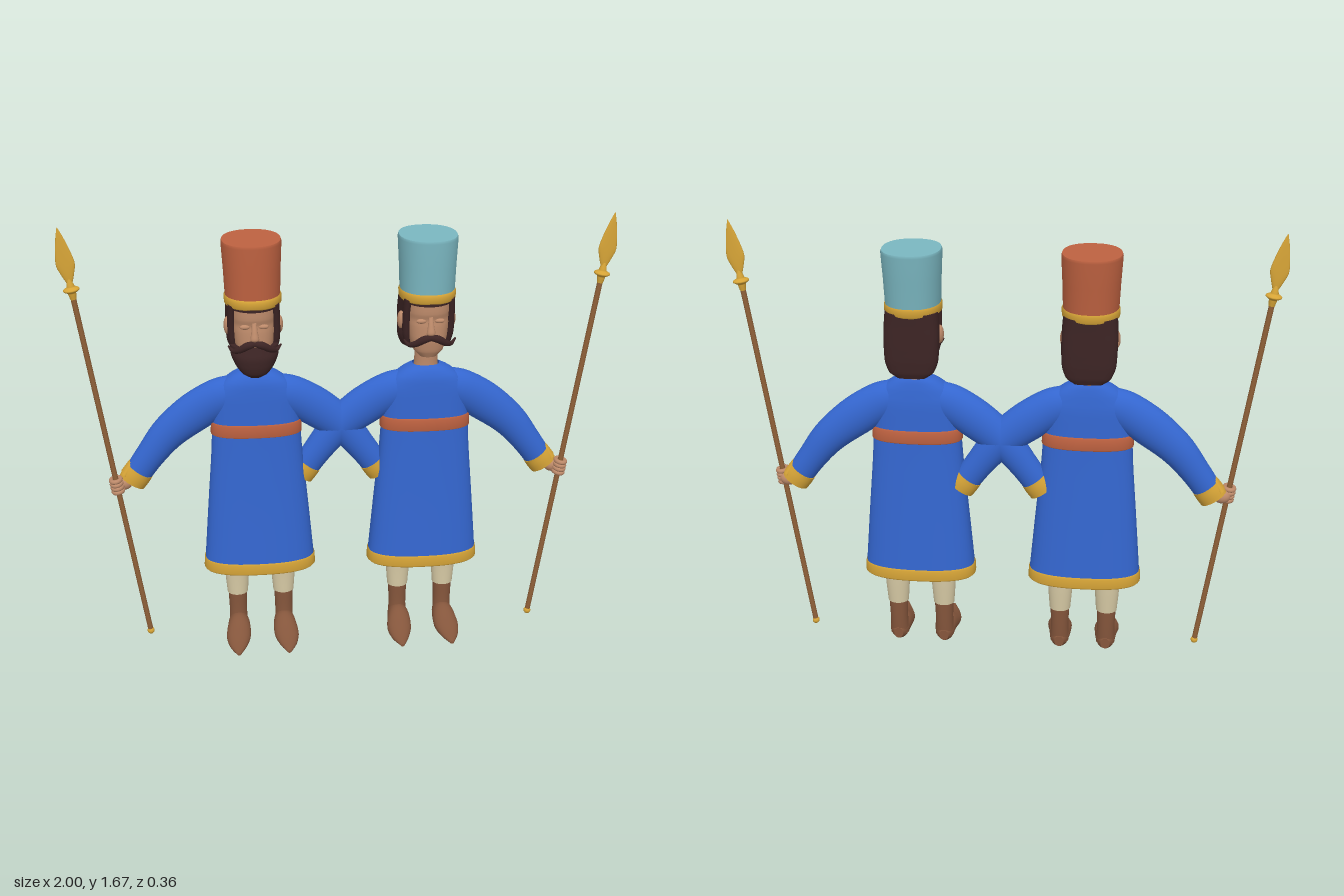
import * as THREE from 'three';

const mat = (name, color) => {
  const m = new THREE.MeshStandardMaterial({ color, side: THREE.DoubleSide });
  m.name = name;
  return m;
};

// Skin of elliptical sections along a path; rows are [x, y, z, radiusAlongRef, otherRadius].
function sweep(rows, { ref = [1, 0, 0], axis = null, steps = 24, sides = 28, power = 1, caps = true, straight = false } = {}) {
  const pos = [], idx = [];
  const path = new THREE.CatmullRomCurve3(rows.map(r => new THREE.Vector3(r[0], r[1], r[2])));
  const size = new THREE.CatmullRomCurve3(rows.map(r => new THREE.Vector3(r[3], r[4], 0)));
  const n = straight ? rows.length - 1 : steps;
  const se = v => Math.sign(v) * Math.abs(v) ** power;
  for (let i = 0; i <= n; i++) {
    const t = i / n, p = path.getPoint(t), r = size.getPoint(t);
    const T = axis ? new THREE.Vector3(...axis) : path.getTangent(t);
    const side = new THREE.Vector3(...ref);
    side.addScaledVector(T, -side.dot(T)).normalize();
    const up = T.clone().cross(side);
    for (let j = 0; j < sides; j++) {
      const a = j / sides * Math.PI * 2;
      const v = p.clone().addScaledVector(side, se(Math.cos(a)) * r.x).addScaledVector(up, se(Math.sin(a)) * r.y);
      pos.push(v.x, v.y, v.z);
    }
  }
  for (let i = 0; i < n; i++) for (let j = 0; j < sides; j++) {
    const k = (j + 1) % sides, a = i * sides + j, b = i * sides + k;
    idx.push(a, b, b + sides, a, b + sides, a + sides);
  }
  // flat end caps with their own vertices, so the rims stay crisp
  if (caps) for (const end of [0, n]) {
    const base = pos.length / 3, c = path.getPoint(end / n);
    pos.push(...pos.slice(end * sides * 3, (end + 1) * sides * 3), c.x, c.y, c.z);
    for (let j = 0; j < sides; j++) {
      const k = (j + 1) % sides;
      idx.push(base + sides, base + (end ? j : k), base + (end ? k : j));
    }
  }
  const g = new THREE.BufferGeometry();
  g.setAttribute('position', new THREE.Float32BufferAttribute(pos, 3));
  g.setIndex(idx);
  g.computeVertexNormals();
  return g;
}

// Upright form from rings [y, halfWidth, frontZ, backZ]
const loft = (rings, opts = {}, x = 0) => sweep(
  rings.map(([y, w, f, b]) => [x, y, (f + b) / 2, w, (f - b) / 2]), { axis: [0, 1, 0], ...opts });

export function createModel() {
  const M = {
    blue: mat('robe blue', 0x3466cf), gold: mat('gold trim', 0xd6a437), red: mat('rust red', 0xbd6140),
    teal: mat('pale teal', 0x7ab6c0), skin: mat('skin', 0xbd8a6a), hair: mat('dark hair', 0x3c2424),
    cream: mat('cream trousers', 0xd6c9a4), boot: mat('boot brown', 0x85563c), wood: mat('spear wood', 0x8f6038),
  };
  const model = new THREE.Group();
  model.name = 'twoGuards';

  // s = side on which the guard stands and holds the spear
  function guard(s, hatMat, bearded) {
    const g = new THREE.Group();
    g.name = s > 0 ? 'leftGuard' : 'rightGuard';
    g.position.x = s * 0.317;
    const add = (name, geo, m, parent = g) => {
      const mesh = new THREE.Mesh(geo, m);
      mesh.name = name;
      parent.add(mesh);
      return mesh;
    };
    const ball = (name, m, p, r) => {
      const b = add(name, new THREE.SphereGeometry(1, 20, 14), m);
      b.position.set(...p);
      b.scale.set(...r);
      return b;
    };

    // robe, hem and belt
    add('robe', loft([[0.345, 0.21, 0.066, -0.132], [0.6, 0.188, 0.05, -0.118], [0.8, 0.17, 0.04, -0.108],
      [0.92, 0.163, 0.035, -0.103], [1.02, 0.158, 0.032, -0.1], [1.075, 0.125, 0.027, -0.092],
      [1.105, 0.085, 0.015, -0.085], [1.12, 0.05, 0, -0.078]], { caps: false, power: 0.8, sides: 40 }), M.blue);
    add('hem', loft([[0.308, 0.209, 0.066, -0.132], [0.315, 0.215, 0.071, -0.137], [0.35, 0.213, 0.07, -0.136],
      [0.357, 0.208, 0.064, -0.13]], { caps: false, power: 0.8, sides: 40, straight: true }), M.gold);
    add('belt', loft([[0.868, 0.163, 0.034, -0.104], [0.874, 0.17, 0.042, -0.111], [0.916, 0.168, 0.041, -0.11],
      [0.922, 0.16, 0.033, -0.1]], { power: 0.8, sides: 40, straight: true }), M.red);

    // legs and pointed boots
    for (const k of [-1, 1]) {
      const x = k * 0.09;
      add('trouserLeg', loft([[0.18, 0.04, -0.012, -0.085], [0.26, 0.046, -0.01, -0.09], [0.45, 0.055, 0.0, -0.098]], {}, x), M.cream);
      add('bootShaft', loft([[0.03, 0.036, -0.005, -0.075], [0.1, 0.034, -0.013, -0.08], [0.192, 0.037, -0.014, -0.084]], {}, x), M.boot);
      add('bootFoot', sweep([[x, 0.04, -0.078, 0.018, 0.022], [x, 0.046, -0.05, 0.036, 0.043], [x, 0.05, 0, 0.043, 0.048],
        [x + k * 0.004, 0.036, 0.06, 0.047, 0.034], [x + k * 0.007, 0.029, 0.12, 0.033, 0.019],
        [x + k * 0.007, 0.03, 0.182, 0.007, 0.005]], { axis: [0, 0, 1] }), M.boot);
    }

    // sleeves and cuffs
    for (const k of [-1, 1]) {
      add('sleeve', sweep([[k * 0.06, 1.035, -0.035, 0.05, 0.065], [k * 0.13, 1.01, -0.038, 0.056, 0.075],
        [k * 0.215, 0.96, -0.045, 0.055, 0.076], [k * 0.325, 0.872, -0.05, 0.052, 0.066],
        [k * 0.4, 0.78, -0.05, 0.047, 0.055], [k * 0.467, 0.685, -0.05, 0.041, 0.05]], { ref: [0, 0, 1] }), M.blue);
      add('cuff', sweep([[k * 0.44, 0.724, -0.05, 0.044, 0.054], [k * 0.455, 0.703, -0.05, 0.045, 0.055],
        [k * 0.472, 0.678, -0.05, 0.043, 0.053]], { ref: [0, 0, 1], steps: 6 }), M.gold);
      // longer point of the cuff on the upper side
      add('cuffPoint', sweep([[k * 0.458, 0.772, -0.05, 0.012, 0.008], [k * 0.475, 0.745, -0.05, 0.026, 0.014],
        [k * 0.497, 0.712, -0.05, 0.034, 0.016]], { ref: [0, 0, 1], steps: 8, sides: 16 }), M.gold);
    }

    // neck, head and face
    add('neck', loft([[1.07, 0.05, 0.005, -0.085], [1.13, 0.043, 0, -0.08], [1.25, 0.043, 0.005, -0.085]]), M.skin);
    add('head', loft([[1.165, 0.032, 0.035, -0.03], [1.19, 0.056, 0.048, -0.06], [1.235, 0.07, 0.055, -0.09],
      [1.285, 0.077, 0.052, -0.11], [1.31, 0.079, 0.049, -0.12], [1.335, 0.081, 0.055, -0.125], [1.39, 0.083, 0.054, -0.13]],
    { power: 0.85 }), M.skin);
    add('nose', sweep([[0, 1.325, 0.05, 0.008, 0.006], [0, 1.29, 0.058, 0.012, 0.012], [0, 1.265, 0.062, 0.016, 0.014],
      [0, 1.255, 0.055, 0.01, 0.008]], { axis: [0, -1, 0], sides: 14 }), M.skin);
    for (const k of [-1, 1]) {
      ball('ear', M.skin, [k * 0.094, 1.285, -0.05], [0.014, 0.034, 0.02]);
      ball('eyelid', M.skin, [k * 0.033, 1.308, 0.044], [0.019, 0.009, 0.01]);
      add('moustache', sweep([[0, 1.25, 0.066, 0.01, 0.01], [k * 0.025, 1.247, 0.071, 0.013, 0.014],
        [k * 0.055, 1.228, 0.06, 0.011, 0.012], [k * 0.078, 1.22, 0.043, 0.007, 0.008],
        [k * 0.095, 1.238, 0.035, 0.003, 0.003]], { ref: [0, 0, 1], sides: 14 }), M.hair);
      add('sideburn', sweep([[k * 0.078, 1.385, 0.01, 0.022, 0.014], [k * 0.081, 1.32, 0, 0.02, 0.014],
        [k * 0.08, 1.25, -0.008, 0.018, 0.014], [k * 0.074, 1.2, -0.012, 0.008, 0.008]], { ref: [0, 0, 1], sides: 14 }), M.hair);
    }
    add('hair', loft([[1.145, 0.05, -0.125, -0.15], [1.165, 0.08, -0.105, -0.157], [1.21, 0.097, -0.083, -0.16],
      [1.29, 0.1, -0.065, -0.158], [1.34, 0.099, -0.035, -0.157], [1.385, 0.096, -0.005, -0.157]], { power: 0.7 }), M.hair);
    add('hairline', loft([[1.364, 0.092, 0.059, -0.15], [1.385, 0.094, 0.059, -0.155]], { steps: 2 }), M.hair);
    if (bearded) {
      add('beard', loft([[1.115, 0.022, 0.05, 0.015], [1.13, 0.046, 0.066, 0], [1.16, 0.07, 0.074, -0.03],
        [1.2, 0.087, 0.073, -0.06], [1.232, 0.088, 0.061, -0.07]], { power: 0.9 }), M.hair);
    }

    // tall flared hat with a gold band
    add('hat', loft([[1.39, 0.099, 0.057, -0.16], [1.5, 0.103, 0.059, -0.17], [1.595, 0.108, 0.062, -0.181],
      [1.604, 0.105, 0.059, -0.178]], { straight: true, sides: 40, power: 0.9 }), hatMat);
    add('hatBand', loft([[1.372, 0.098, 0.056, -0.157], [1.378, 0.103, 0.063, -0.163], [1.4, 0.104, 0.064, -0.165],
      [1.408, 0.1, 0.058, -0.161]], { straight: true, sides: 40, power: 0.9 }), M.gold);

    // spear: built upright from its foot, then leaned outward
    const spear = new THREE.Group();
    spear.name = 'spear';
    spear.position.set(s * 0.435, 0.028, -0.012);
    spear.rotation.z = -s * 0.14;
    g.add(spear);
    add('shaft', new THREE.CylinderGeometry(0.01, 0.01, 1.42, 14).translate(0, 0.725, 0), M.wood, spear);
    add('footCap', new THREE.SphereGeometry(0.014, 14, 10).translate(0, 0.013, 0), M.gold, spear);
    add('socket', sweep([[0, 1.4, 0, 0.011, 0.011], [0, 1.425, 0, 0.015, 0.015], [0, 1.445, 0, 0.015, 0.015],
      [0, 1.475, 0, 0.007, 0.007]], { axis: [0, 1, 0], sides: 14 }), M.gold, spear);
    add('blade', sweep([[0, 1.45, 0, 0.006, 0.005], [0, 1.49, 0, 0.022, 0.007], [0, 1.53, 0, 0.033, 0.007],
      [0, 1.58, 0, 0.025, 0.006], [0, 1.63, 0, 0.012, 0.004], [0, 1.662, 0, 0.001, 0.001]],
    { axis: [0, 1, 0], sides: 16 }), M.gold, spear);

    // hand gripping the shaft
    ball('palm', M.skin, [s * 0.503, 0.678, -0.035], [0.032, 0.027, 0.025]);
    for (let i = 0; i < 4; i++) {
      const f = add('finger', new THREE.TorusGeometry(0.018, 0.0085, 8, 18).rotateX(Math.PI / 2).translate(0, 0.637 + i * 0.015, 0), M.skin, spear);
      f.scale.z = 1.25;
    }
    model.add(g);
  }

  guard(1, M.teal, false);
  guard(-1, M.red, true);
  return model;
}
